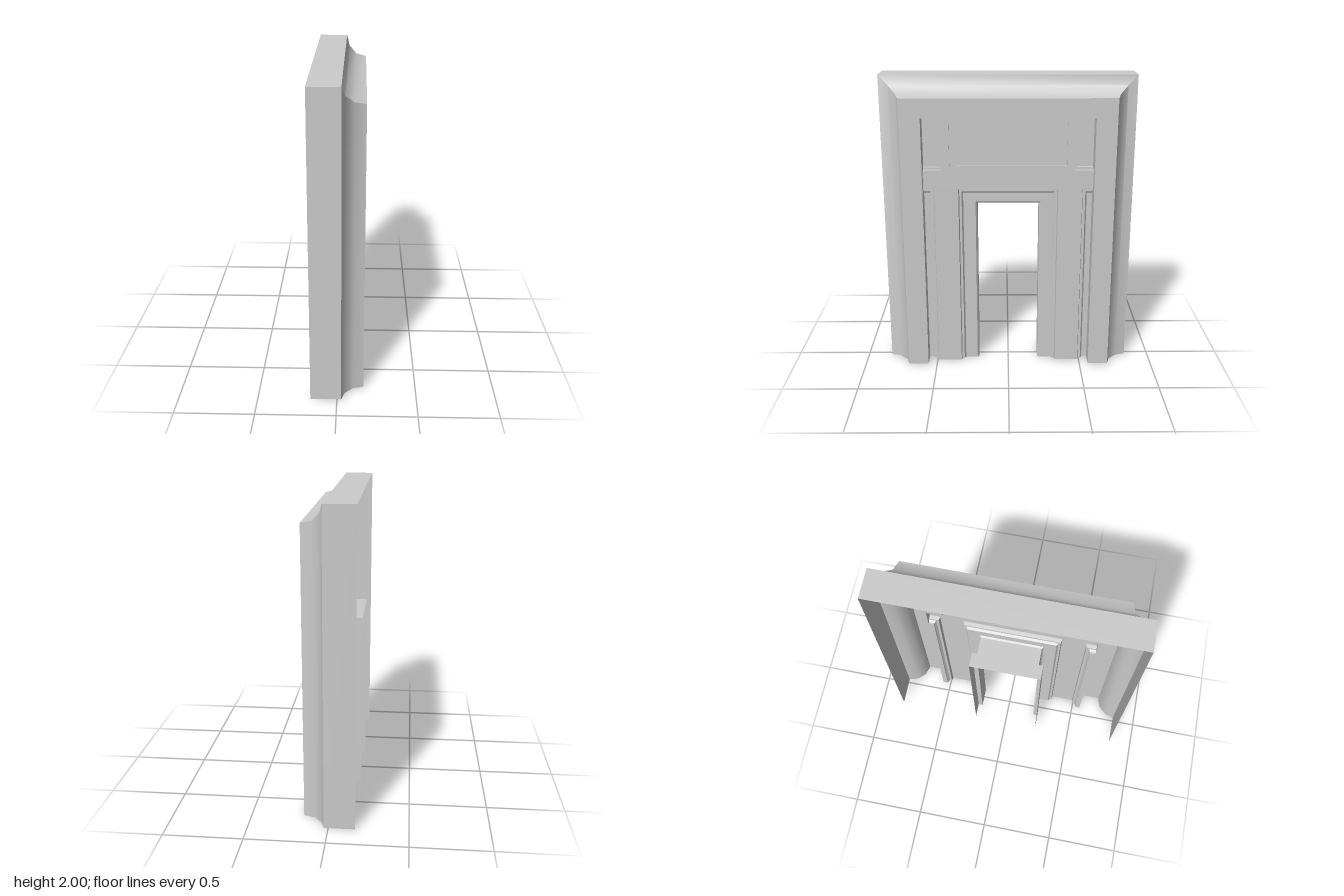
import * as THREE from 'three';
import { toCreasedNormals } from 'three/addons/utils/BufferGeometryUtils.js';

const material = new THREE.MeshStandardMaterial({ color: 0xcccccc, side: THREE.DoubleSide });

// Paths in (z, y) for a profile point with half width w and height h
const arch = (w, h) => [[w, 0], [w, h], [-w, h], [-w, 0]];

// Mitred moulding: profile points are [w, h, x], path(w, h) gives the corners
function moulding(name, profile, path, reverse = false) {
  const rows = profile.map(([w, h, x]) => {
    const corners = path(w, h).map(([z, y]) => [x, y, z]);
    return reverse ? corners.reverse() : corners;
  });
  const pos = [];
  for (let i = 0; i < rows.length - 1; i++) {
    for (let j = 0; j < rows[i].length - 1; j++) {
      const a = rows[i][j], b = rows[i][j + 1], c = rows[i + 1][j + 1], d = rows[i + 1][j];
      pos.push(...a, ...d, ...c, ...a, ...c, ...b);
    }
  }
  const geo = new THREE.BufferGeometry();
  geo.setAttribute('position', new THREE.Float32BufferAttribute(pos, 3));
  const mesh = new THREE.Mesh(toCreasedNormals(geo, 0.6), material);
  mesh.name = name;
  return mesh;
}

// Flat face looking along +x at depth x, outlined in (z, y)
function face(name, x, outline, holes = []) {
  const toPoints = (list) => list.map(([z, y]) => new THREE.Vector2(-z, y));
  const shape = new THREE.Shape(toPoints(outline));
  holes.forEach((h) => shape.holes.push(new THREE.Path(toPoints(h))));
  const geo = new THREE.ShapeGeometry(shape).rotateY(Math.PI / 2).translate(x, 0, 0);
  const mesh = new THREE.Mesh(geo, material);
  mesh.name = name;
  return mesh;
}

const rect = (z0, z1, y0, y1) => [[z0, y0], [z1, y0], [z1, y1], [z0, y1]];

export function createModel() {
  const group = new THREE.Group();
  group.name = 'doorway';
  const wallX = 0.11, floorX = 0.06;
  const inner = 0.56, innerTop = 1.745;

  // Outer frame: side, cove, front band and reveal
  group.add(moulding('outerFrame', [
    [0.835, 2, -0.168], [0.835, 2, 0.027], [0.77, 1.935, 0.047], [0.717, 1.887, 0.098],
    [0.697, 1.872, 0.167], [inner, innerTop, 0.167], [inner, innerTop, floorX],
  ], arch));

  // Wall face: pilasters, cross band and upper block, with a panel opening
  const half = [[0.33, 1.26], [0.33, 0], [0.49, 0], [0.49, 1.26], [inner, 1.26],
    [inner, 1.39], [0.435, 1.39], [0.435, innerTop]];
  const mirrored = half.map(([z, y]) => [-z, y]).reverse();
  const panel = rect(-0.385, 0.385, 1.42, 1.71);
  group.add(face('wallFace', wallX, [...half, ...mirrored], [panel]));

  // Sunk panel above the door
  const panelPath = (w, h) => {
    const low = 3.13 - h;
    return [[w, low], [w, h], [-w, h], [-w, low], [w, low]];
  };
  group.add(moulding('panelEdge', [[0.385, 1.71, wallX], [0.385, 1.71, 0.1]], panelPath));
  group.add(face('panelFace', 0.1, panel));

  // Door casing, jamb and rear rebate
  group.add(moulding('doorCasing', [
    [0.33, 1.26, wallX], [0.325, 1.255, 0.085], [0.31, 1.24, 0.085], [0.3, 1.228, 0.07],
    [0.218, 1.165, 0.07], [0.208, 1.155, 0.058], [0.208, 1.155, -0.07],
    [0.24, 1.185, -0.07], [0.24, 1.185, -0.168],
  ], arch));

  // Stepped recesses beside the pilasters and the upper block
  for (const s of [1, -1]) {
    const side = s > 0 ? 'left' : 'right';
    group.add(moulding(side + 'LowerRecessEdge', [
      [0.49, 1.26, wallX], [0.495, 1.255, 0.085], [0.512, 1.24, 0.085],
      [0.523, 1.228, 0.07], [0.523, 1.228, floorX],
    ], (w, h) => [[s * w, 0], [s * w, h], [s * inner, h]], s > 0));
    group.add(face(side + 'LowerRecessFloor', floorX, rect(s * 0.523, s * inner, 0, 1.228)));

    group.add(moulding(side + 'UpperRecessEdge', [
      [0.435, 1.39, wallX], [0.435, 1.39, 0.085], [0.45, 1.405, 0.085], [0.45, 1.405, floorX],
    ], (w, h) => [[s * inner, h], [s * w, h], [s * w, innerTop]], s > 0));
    group.add(face(side + 'UpperRecessFloor', floorX, rect(s * 0.45, s * inner, 1.405, innerTop)));
  }
  return group;
}
